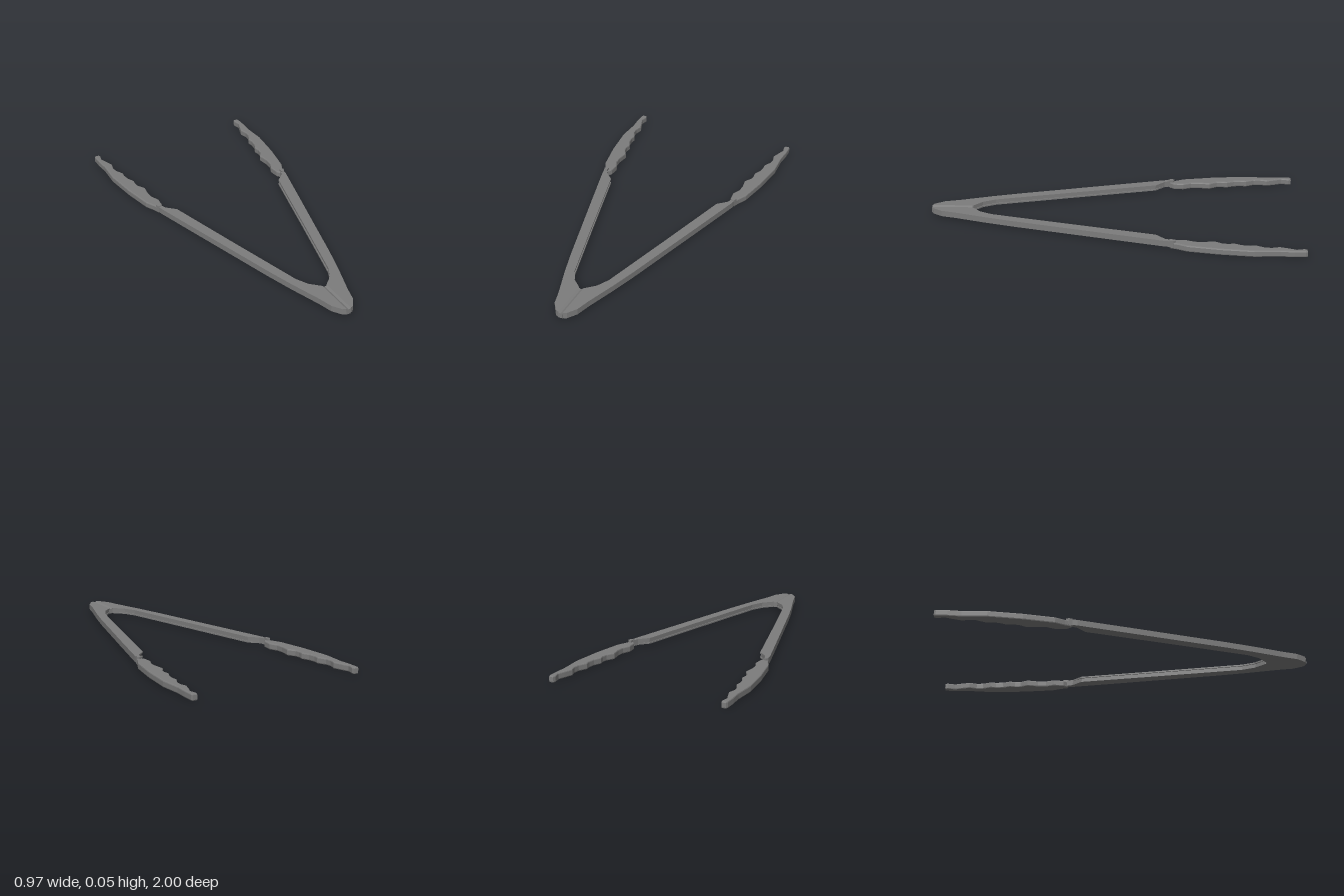
import * as THREE from 'three';

const material = new THREE.MeshStandardMaterial({ color: 0x7c7c7c, flatShading: true });

// Flat plate from an [x, z] outline, between heights y0 and y1, mirrored by side
function plate(name, outline, side, y0, y1, bevel = 0) {
  const shape = new THREE.Shape(outline.map(([x, z]) => new THREE.Vector2(x * side, -z)));
  const geo = new THREE.ExtrudeGeometry(shape, {
    depth: y1 - y0 - 2 * bevel, bevelEnabled: bevel > 0, bevelThickness: bevel,
    bevelSize: bevel, bevelOffset: -bevel, bevelSegments: 2,
  });
  geo.rotateX(-Math.PI / 2);
  geo.translate(0, y0 + bevel, 0);
  const mesh = new THREE.Mesh(geo, material);
  mesh.name = name;
  return mesh;
}

// Outer and inner edges of one arm, from the hinge to the neck
const armOuter = [[0.012, 0.998], [0.03, 0.99], [0.063, 0.94], [0.084, 0.86], [0.14, 0.686],
  [0.185, 0.53], [0.243, 0.31], [0.32, 0.02], [0.396, -0.27], [0.402, -0.31]];
const armInner = [[0.012, 0.776], [0.063, 0.728], [0.097, 0.66], [0.21, 0.22], [0.322, -0.225],
  [0.37, -0.272], [0.384, -0.31]];

// Outer and toothed inner edges of one grip
const gripOuter = [[0.4, -0.3], [0.412, -0.335], [0.436, -0.385], [0.466, -0.55], [0.485, -0.73],
  [0.477, -0.86], [0.482, -0.93], [0.481, -0.99], [0.476, -1]];
const gripInner = [[0.384, -0.3], [0.366, -0.325], [0.361, -0.38], [0.38, -0.425], [0.382, -0.47],
  [0.373, -0.53], [0.397, -0.57], [0.4, -0.6], [0.395, -0.63], [0.413, -0.67], [0.418, -0.71],
  [0.414, -0.74], [0.436, -0.785], [0.439, -0.82], [0.428, -0.86], [0.444, -0.91], [0.457, -0.945],
  [0.448, -0.985], [0.453, -1]];

const neck = [[0.381, -0.295], [0.4, -0.295], [0.406, -0.315], [0.398, -0.33], [0.385, -0.325]];

const ring = (outer, inner) => [...outer, ...[...inner].reverse()];

export function createModel() {
  const model = new THREE.Group();
  model.name = 'tongs';

  for (const side of [1, -1]) {
    const half = new THREE.Group();
    half.name = side > 0 ? 'leftHalf' : 'rightHalf';

    // Arm in three layers, the middle one set back to leave a shallow groove on the inside
    const grooved = armInner.map(([x, z], i) =>
      i === 0 ? [x, z + 0.006] : i > 4 ? [x, z] : [x + 0.005, z + 0.003]);
    half.add(plate('armBase', ring(armOuter, armInner), side, 0.01, 0.018));
    half.add(plate('armCore', ring(armOuter, grooved), side, 0.018, 0.034));
    half.add(plate('armTop', ring(armOuter, armInner), side, 0.034, 0.042));

    // Narrow neck and scalloped grip
    half.add(plate('neck', neck, side, 0.008, 0.046));
    half.add(plate('grip', ring(gripOuter, gripInner), side, 0, 0.035, 0.006));
    model.add(half);
  }

  // Hinge strip with a shallow crease along the centre line
  const crease = new THREE.Shape([[-0.012, 0.01], [0.012, 0.01], [0.012, 0.042], [0, 0.036],
    [-0.012, 0.042]].map(([x, y]) => new THREE.Vector2(x, y)));
  const hinge = new THREE.Mesh(
    new THREE.ExtrudeGeometry(crease, { depth: 0.22, bevelEnabled: false }), material);
  hinge.position.z = 0.78;
  hinge.name = 'hinge';
  model.add(hinge);

  return model;
}
